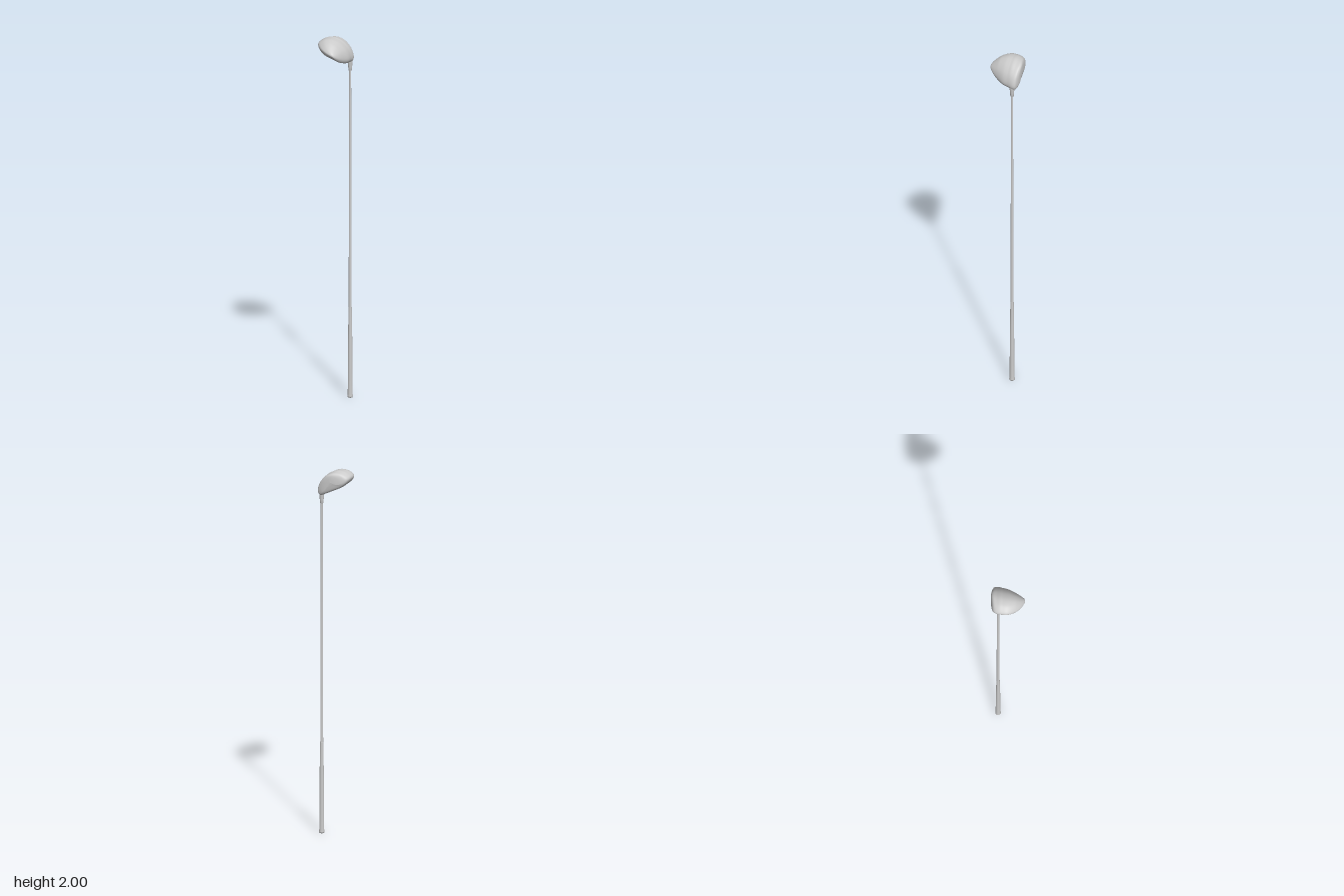
import * as THREE from 'three';

const material = new THREE.MeshStandardMaterial({ color: 0xcccccc, roughness: 0.6 });

// Stations along z: [left x, right x, z, sole height scale, crown depth scale, lift]
const stations = [
  [0.0, 0.0, 0.091, 0.0, 0.0, 0.02],
  [-0.013, 0.012, 0.088, 0.13, 0.2, 0.018],
  [-0.045, 0.031, 0.07, 0.42, 0.6, 0.01],
  [-0.073, 0.051, 0.04, 0.77, 0.9, 0.002],
  [-0.091, 0.073, 0, 0.96, 1, 0],
  [-0.091, 0.081, -0.03, 1, 1, 0],
  [-0.085, 0.088, -0.06, 1, 1, 0],
  [-0.075, 0.084, -0.075, 0.99, 0.9, 0],
  [-0.055, 0.068, -0.084, 0.94, 0.5, 0],
  [-0.025, 0.045, -0.0895, 0.75, -0.4, 0.005],
  [0.01, 0.01, -0.092, 0, 0, 0.035],
];

// Cross-section: position across the head, height over the tilted heel-to-toe line
const outline = [
  [0, 0.006], [0.12, 0.037], [0.28, 0.062], [0.49, 0.081], [0.7, 0.084],
  [0.88, 0.07], [0.98, 0.045], [1, 0.012], [0.9, -0.012], [0.7, -0.017],
  [0.48, -0.02], [0.22, -0.022], [0.05, -0.012],
];

// Club head lofted through the stations
function headGeometry(rings = 50, sides = 56) {
  const span = new THREE.CatmullRomCurve3(stations.map(s => new THREE.Vector3(s[0], s[1], s[2])));
  const scale = new THREE.CatmullRomCurve3(stations.map(s => new THREE.Vector3(s[3], s[4], s[5])));
  const section = new THREE.CatmullRomCurve3(outline.map(p => new THREE.Vector3(p[0], p[1] * 10, 0)), true);
  const position = [], index = [];
  for (let i = 0; i <= rings; i++) {
    const a = span.getPoint(i / rings), b = scale.getPoint(i / rings);
    for (let j = 0; j < sides; j++) {
      const p = section.getPoint(j / sides);
      const x = THREE.MathUtils.lerp(a.x, a.y, p.x);
      const h = p.y / 10;
      const y = 1.965 - 0.54 * (x + 0.09) + b.z + h * (h > 0 ? b.x : b.y);
      position.push(x, y, a.z);
      if (i < rings) {
        const k = (j + 1) % sides, r = i * sides, s = r + sides;
        index.push(r + j, r + k, s + j, r + k, s + k, s + j);
      }
    }
  }
  const geometry = new THREE.BufferGeometry();
  geometry.setAttribute('position', new THREE.Float32BufferAttribute(position, 3));
  geometry.setIndex(index);
  geometry.computeVertexNormals();
  return geometry;
}

// Round part turned about the shaft axis from [radius, height] pairs
function turned(name, profile) {
  const points = profile.map(([r, y]) => new THREE.Vector2(r, y));
  const mesh = new THREE.Mesh(new THREE.LatheGeometry(points, 24), material);
  mesh.name = name;
  mesh.position.set(0.071, 0, -0.055);
  return mesh;
}

export function createModel() {
  const model = new THREE.Group();
  model.name = 'golfClub';

  const head = new THREE.Mesh(headGeometry(), material);
  head.name = 'head';
  model.add(head);

  // Grip with a flared butt cap, slim shaft, and collar blending into the head
  model.add(turned('grip', [
    [0, 0], [0.011, 0], [0.0145, 0.004], [0.015, 0.01], [0.013, 0.018],
    [0.0125, 0.1], [0.0115, 0.3], [0.009, 0.5], [0.007, 0.503],
  ]));
  model.add(turned('shaft', [[0.008, 0.49], [0.007, 1.1], [0.0055, 1.84]]));
  model.add(turned('hosel', [
    [0.005, 1.818], [0.0095, 1.82], [0.0105, 1.84], [0.0125, 1.86], [0.0145, 1.878], [0.012, 1.9], [0, 1.905],
  ]));
  return model;
}
